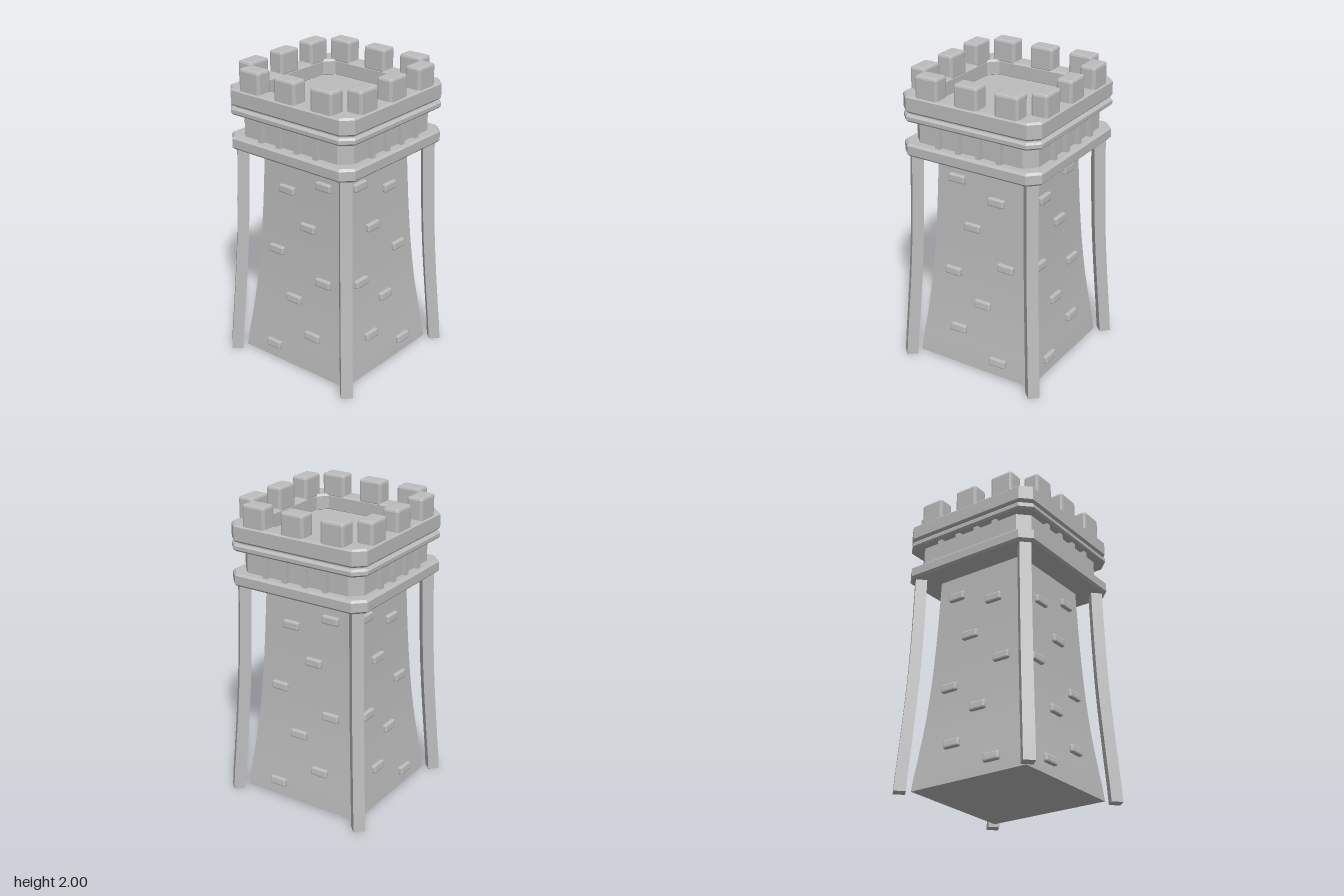
import * as THREE from 'three';
import { RoundedBoxGeometry } from 'three/addons/geometries/RoundedBoxGeometry.js';

const stone = new THREE.MeshStandardMaterial({ color: 0xbdbdbd });
stone.name = 'grey stone';

// Half width of the flared tower and distance of the corner posts, by height
const curve = (pts) => new THREE.SplineCurve(pts.map(([r, y]) => new THREE.Vector2(r, y)));
const flare = curve([[0.43, 0], [0.4, 0.25], [0.372, 0.5], [0.352, 0.75], [0.338, 1], [0.328, 1.25], [0.32, 1.5]]);
const lean = curve([[0.479, 0], [0.465, 0.25], [0.45, 0.5], [0.437, 0.75], [0.428, 1], [0.422, 1.25], [0.418, 1.5]]);
const at = (c, y) => c.getPoint(THREE.MathUtils.clamp(y / 1.5, 0, 1)).x;

function add(parent, name, geometry, x = 0, y = 0, z = 0) {
  const mesh = new THREE.Mesh(geometry, stone);
  mesh.name = name;
  mesh.position.set(x, y, z);
  parent.add(mesh);
  return mesh;
}

// Square path with cut corners
function octagon(path, h, c) {
  const k = h - c;
  path.setFromPoints([[k, -h], [h, -k], [h, k], [k, h], [-k, h], [-h, k], [-h, -k], [-k, -h]]
    .map(([x, y]) => new THREE.Vector2(x, y)));
  path.closePath();
  return path;
}

// Bevelled horizontal slab from y0 to y1, with an optional opening
function slab(y0, y1, h, c, bevel, hole) {
  const shape = octagon(new THREE.Shape(), h, c);
  if (hole) shape.holes.push(octagon(new THREE.Path(), hole, 0.06));
  const g = new THREE.ExtrudeGeometry(shape, {
    depth: y1 - y0 - 2 * bevel, bevelEnabled: bevel > 0, bevelSize: bevel,
    bevelThickness: bevel, bevelOffset: -bevel, bevelSegments: 1,
  });
  return g.rotateX(-Math.PI / 2).translate(0, y0 + bevel, 0);
}

// Box with chamfered edges
function block(w, h, d, r) {
  const g = new RoundedBoxGeometry(w, h, d, 1, r);
  g.computeVertexNormals();
  return g;
}

function towerBody() {
  const g = new THREE.BoxGeometry(2, 1.49, 2, 1, 16, 1).translate(0, 0.755, 0);
  const p = g.attributes.position;
  for (let i = 0; i < p.count; i++) {
    const r = at(flare, p.getY(i));
    p.setX(i, p.getX(i) * r);
    p.setZ(i, p.getZ(i) * r);
  }
  g.computeVertexNormals();
  return g;
}

function cornerPost() {
  const g = new THREE.BoxGeometry(0.075, 1.5, 0.075, 1, 12, 1).rotateY(Math.PI / 4).translate(0, 0.75, 0);
  const p = g.attributes.position;
  for (let i = 0; i < p.count; i++) {
    const r = at(lean, p.getY(i));
    p.setX(i, p.getX(i) + r);
    p.setZ(i, p.getZ(i) + r);
  }
  g.computeVertexNormals();
  return g;
}

export function createModel() {
  const tower = new THREE.Group();
  tower.name = 'tower';

  add(tower, 'body', towerBody());
  add(tower, 'lowerLedge', slab(1.46, 1.545, 0.5, 0.07, 0.014));
  add(tower, 'galleryWall', slab(1.53, 1.7, 0.442, 0.07, 0));
  add(tower, 'upperLedge', slab(1.69, 1.737, 0.5, 0.07, 0.012));
  add(tower, 'roofFloor', slab(1.73, 1.757, 0.475, 0.065, 0));
  add(tower, 'parapet', slab(1.748, 1.86, 0.497, 0.065, 0.012, 0.378));

  const bricks = [[0.175, 1.31], [-0.12, 1.215], [0.055, 1], [-0.2, 0.78],
    [0.195, 0.66], [-0.04, 0.48], [0.135, 0.265], [-0.18, 0.11]];
  const post = cornerPost();
  const merlon = block(0.165, 0.16, 0.11, 0.016);
  const pillar = new THREE.BoxGeometry(0.034, 0.16, 0.07);
  const brick = block(0.118, 0.055, 0.05, 0.01);

  // Four sides, each turned a quarter
  for (let s = 0; s < 4; s++) {
    const side = new THREE.Group();
    side.name = ['front', 'left', 'back', 'right'][s] + 'Side';
    side.rotation.y = s * Math.PI / 2;
    tower.add(side);

    add(side, 'cornerPost', post);
    for (const x of [-0.285, 0, 0.285]) add(side, 'merlon', merlon, x, 1.92, 0.434);
    for (const x of [-0.22, -0.073, 0.073, 0.22]) add(side, 'galleryPillar', pillar, x, 1.617, 0.437);

    // Raised bricks, mirrored on neighbouring sides and tilted with the wall
    for (const [x, y] of bricks) {
      const mesh = add(side, 'brick', brick, s % 2 ? -x : x, y, at(flare, y));
      mesh.rotation.x = -Math.atan((at(flare, y - 0.05) - at(flare, y + 0.05)) / 0.1);
    }
  }
  return tower;
}
